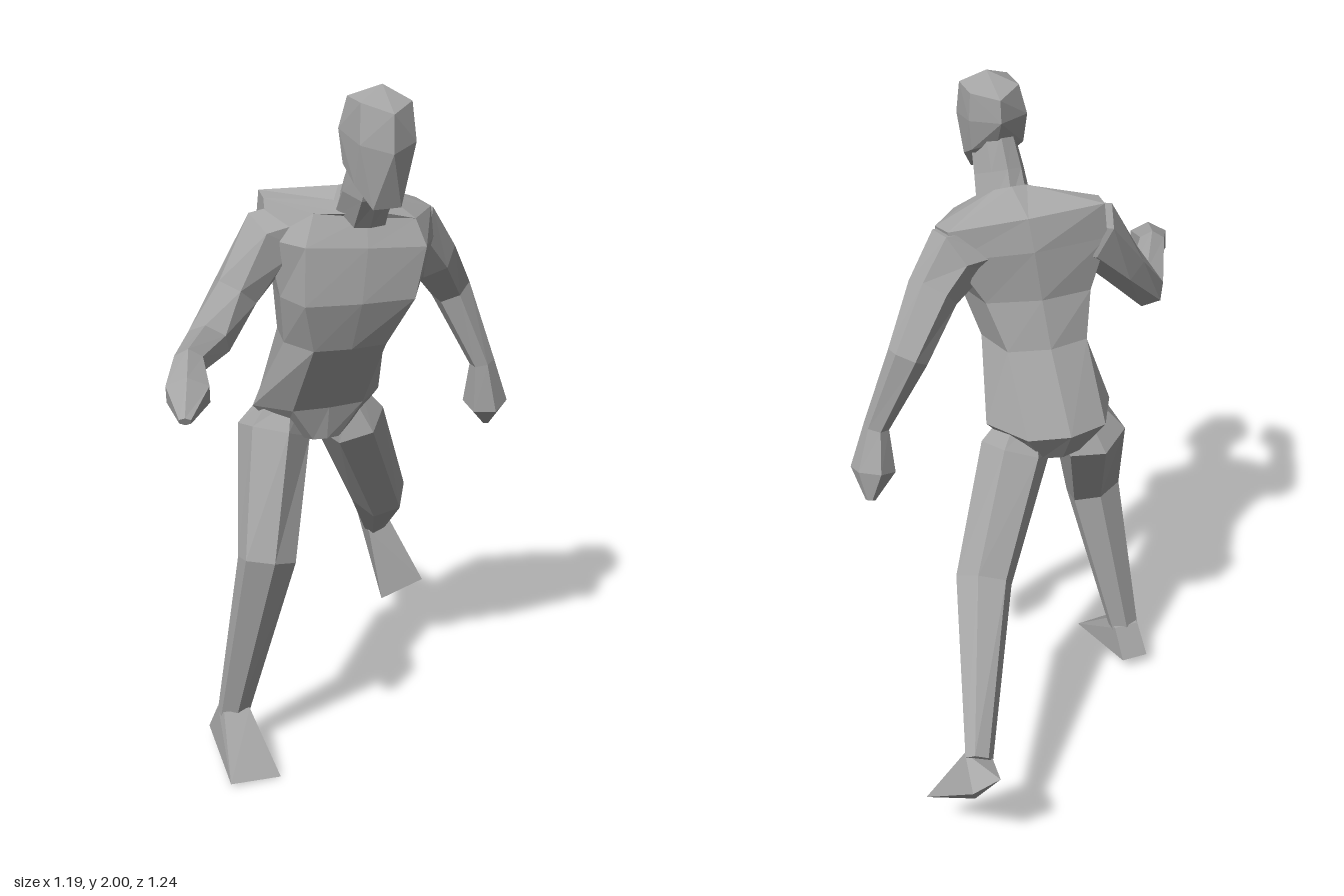
import * as THREE from 'three';
import { ConvexGeometry } from 'three/addons/geometries/ConvexGeometry.js';

const V = (x, y, z) => new THREE.Vector3(x, y, z);

// Skin a list of equal-length rings (anticlockwise seen from the end) and cap both ends
function loft(rings) {
  const n = rings[0].length, pos = [];
  const tri = (...pts) => pts.forEach(p => pos.push(p.x, p.y, p.z));
  for (let i = 0; i < rings.length - 1; i++) {
    for (let j = 0; j < n; j++) {
      const k = (j + 1) % n, a = rings[i], b = rings[i + 1];
      tri(a[j], a[k], b[k]);
      tri(a[j], b[k], b[j]);
    }
  }
  const first = rings[0], last = rings[rings.length - 1];
  for (let j = 1; j < n - 1; j++) {
    tri(first[0], first[j + 1], first[j]);
    tri(last[0], last[j], last[j + 1]);
  }
  const g = new THREE.BufferGeometry();
  g.setAttribute('position', new THREE.Float32BufferAttribute(pos, 3));
  g.computeVertexNormals();
  return g;
}

// Six-sided limb; each station is [x, y, z, radius along hint, radius across]
function limb(stations, hint) {
  const c = stations.map(s => V(s[0], s[1], s[2]));
  return loft(stations.map((s, i) => {
    const t = V(0, 0, 0);
    if (i > 0) t.add(c[i].clone().sub(c[i - 1]).normalize());
    if (i < c.length - 1) t.add(c[i + 1].clone().sub(c[i]).normalize());
    t.normalize();
    const u = hint.clone().addScaledVector(t, -hint.dot(t)).normalize();
    const v = t.clone().cross(u);
    return Array.from({ length: 6 }, (_, j) => {
      const a = j * Math.PI / 3;
      return c[i].clone().addScaledVector(u, s[3] * Math.cos(a))
        .addScaledVector(v, s[4] * Math.sin(a) / 0.866);
    });
  }));
}

// Eight-point body ring: centre, half width, front and back depth,
// front and back breadth (as a share of the width), then yaw, roll and pitch slopes
function bodyRing([x, y, z, w, front, back, f, b, yaw, roll, pitch]) {
  const outline = [[0, 1], [f, 0.92], [1, 0.15], [b, -0.8], [0, -1], [-b, -0.8], [-1, 0.15], [-f, 0.92]];
  return outline.map(([ox, oz]) => {
    const dx = ox * w, dz = oz * (oz > 0 ? front : back);
    return V(x + dx, y + roll * dx + pitch * dz, z + dz + yaw * dx);
  });
}

const hull = pts => new ConvexGeometry(pts.map(p => V(...p)));

export function createModel() {
  const group = new THREE.Group();
  const grey = new THREE.MeshStandardMaterial({ color: 0xa6a6a6 });
  grey.flatShading = true;
  const add = (name, geometry) => {
    const mesh = new THREE.Mesh(geometry, grey);
    mesh.name = name;
    group.add(mesh);
  };

  // Torso leaning forward, shoulders twisted
  add('torso', loft([
    [0.00, 0.95, 0.04, 0.10, 0.10, 0.09, 0.4, 0.6, 0, 0, 0],
    [0.00, 1.05, 0.04, 0.195, 0.115, 0.15, 0.55, 0.62, 0, 0, 0],
    [0.005, 1.27, 0.16, 0.15, 0.14, 0.135, 0.7, 0.8, 0.05, 0, 0],
    [0.015, 1.41, 0.20, 0.18, 0.145, 0.135, 0.85, 0.85, 0.12, 0, 0],
    [0.035, 1.56, 0.20, 0.23, 0.135, 0.13, 0.72, 0.95, 0.15, -0.05, 0],
    [0.045, 1.65, 0.15, 0.23, 0.15, 0.06, 0.6, 0.95, 0.18, -0.1, -0.1],
    [0.05, 1.68, 0.25, 0.08, 0.06, 0.05, 0.55, 0.6, 0.1, -0.05, -0.6],
  ].map(bodyRing)));

  add('neck', loft([
    [0.05, 1.64, 0.25, 0.08, 0.06, 0.05, 0.55, 0.6, 0.1, 0, -0.6],
    [0.045, 1.72, 0.30, 0.075, 0.065, 0.06, 0.55, 0.6, 0, 0, -0.4],
    [0.05, 1.82, 0.34, 0.065, 0.06, 0.06, 0.55, 0.6, 0, 0, -0.3],
  ].map(bodyRing)));

  // Faceted head
  add('head', hull([
    [0.06, 2.0, 0.355],
    [-0.015, 1.965, 0.30], [0.13, 1.96, 0.30], [0.06, 1.945, 0.25],
    [-0.02, 1.965, 0.40], [0.125, 1.96, 0.40], [0.05, 1.94, 0.455],
    [-0.035, 1.88, 0.29], [0.135, 1.88, 0.30], [0.06, 1.88, 0.245],
    [-0.03, 1.86, 0.42], [0.125, 1.86, 0.43], [0.045, 1.84, 0.468],
    [-0.03, 1.79, 0.31], [0.125, 1.79, 0.31], [0.06, 1.81, 0.28],
    [-0.03, 1.75, 0.39], [0.12, 1.75, 0.39],
    [0.005, 1.69, 0.43], [0.085, 1.69, 0.43], [0.05, 1.71, 0.355],
  ]));

  // Arms, each running on into a tapered hand
  add('rightArm', limb([
    [-0.08, 1.575, 0.16, 0.09, 0.07],
    [-0.18, 1.555, 0.14, 0.095, 0.08],
    [-0.28, 1.425, 0.16, 0.068, 0.06],
    [-0.37, 1.31, 0.20, 0.055, 0.055],
    [-0.50, 1.335, 0.42, 0.042, 0.037],
    [-0.54, 1.295, 0.53, 0.055, 0.055],
    [-0.575, 1.255, 0.61, 0.012, 0.015],
  ], V(0, 1, 0)));
  add('leftArm', limb([
    [0.12, 1.55, 0.18, 0.07, 0.07],
    [0.24, 1.54, 0.17, 0.078, 0.09],
    [0.315, 1.46, 0.14, 0.075, 0.064],
    [0.425, 1.325, 0.05, 0.054, 0.052],
    [0.515, 1.10, 0.09, 0.038, 0.032],
    [0.537, 0.97, 0.075, 0.068, 0.056],
    [0.56, 0.89, 0.042, 0.015, 0.012],
  ], V(0, 0, 1)));

  // Legs in mid stride
  add('rightLeg', limb([
    [-0.09, 1.06, 0.04, 0.05, 0.05],
    [-0.125, 0.96, 0.04, 0.105, 0.092],
    [-0.215, 0.64, 0.215, 0.06, 0.077],
    [-0.297, 0.12, 0.137, 0.032, 0.043],
  ], V(0, 0, 1)));
  add('leftLeg', limb([
    [0.08, 1.06, 0.05, 0.05, 0.05],
    [0.115, 0.96, 0.035, 0.105, 0.088],
    [0.28, 0.635, -0.12, 0.088, 0.072],
    [0.455, 0.333, -0.52, 0.034, 0.04],
  ], V(0.25, 0, 1)));

  // Wedge feet, the left one lifted behind with its toe pointing down
  add('rightFoot', hull([
    [-0.335, 0.14, 0.165], [-0.255, 0.14, 0.165], [-0.335, 0.135, 0.11], [-0.255, 0.135, 0.11],
    [-0.345, 0.04, 0.055], [-0.26, 0.04, 0.055], [-0.378, 0.01, 0.34], [-0.225, 0, 0.34],
  ]));
  add('leftFoot', hull([
    [0.41, 0.325, -0.475], [0.49, 0.355, -0.50], [0.43, 0.335, -0.62],
    [0.51, 0.305, -0.615], [0.435, 0.095, -0.42], [0.58, 0.145, -0.41],
  ]));

  return group;
}
